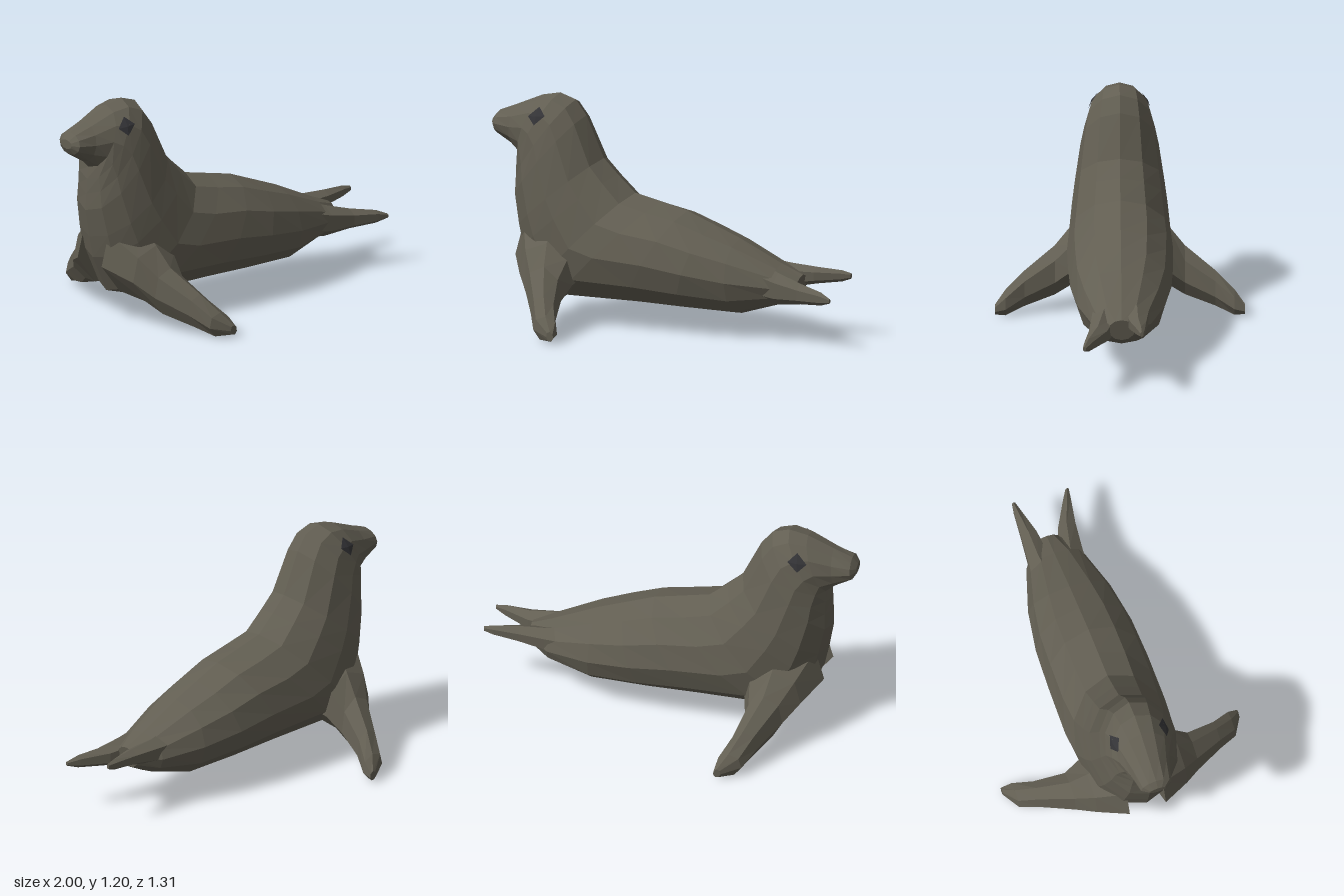
import * as THREE from 'three';

const V = (x, y, z) => new THREE.Vector3(x, y, z);
const skin = new THREE.MeshStandardMaterial({ color: 0x625e52, flatShading: true });
const dark = new THREE.MeshStandardMaterial({ color: 0x333336, flatShading: true, side: THREE.DoubleSide });

// Closed faceted skin over elliptical rings; each ring has centre c and half-axes u, v.
function loft(rings, sides) {
  const pos = [], idx = [], last = rings.length - 1;
  const travel = rings[last].c.clone().sub(rings[0].c);
  for (const { c, u, v } of rings) {
    const s = u.clone().cross(v).dot(travel) < 0 ? -1 : 1;
    for (let j = 0; j < sides; j++) {
      const a = (j / sides) * Math.PI * 2;
      pos.push(...c.clone().addScaledVector(u, Math.cos(a)).addScaledVector(v, s * Math.sin(a)).toArray());
    }
  }
  pos.push(...rings[0].c.toArray(), ...rings[last].c.toArray());
  const c0 = rings.length * sides;
  for (let j = 0; j < sides; j++) {
    const k = (j + 1) % sides;
    for (let i = 0; i < last; i++) {
      const a = i * sides + j, b = i * sides + k;
      idx.push(a, b, b + sides, a, b + sides, a + sides);
    }
    idx.push(c0, k, j, c0 + 1, last * sides + j, last * sides + k);
  }
  const g = new THREE.BufferGeometry();
  g.setAttribute('position', new THREE.Float32BufferAttribute(pos, 3));
  g.setIndex(idx);
  const flat = g.toNonIndexed();
  flat.computeVertexNormals();
  return flat;
}

function part(name, geometry, material = skin) {
  const m = new THREE.Mesh(geometry, material);
  m.name = name;
  return m;
}

// Body from nose to tail: back point x, y; belly point x, y; half width
const BODY = [
  [-1.0, 1.045, -1.0, 0.995, 0.045],
  [-0.97, 1.08, -0.98, 0.96, 0.085],
  [-0.87, 1.12, -0.89, 0.905, 0.105],
  [-0.73, 1.18, -0.85, 0.865, 0.14],
  [-0.63, 1.20, -0.86, 0.8, 0.165],
  [-0.54, 1.17, -0.865, 0.72, 0.185],
  [-0.48, 1.09, -0.87, 0.63, 0.205],
  [-0.38, 0.87, -0.845, 0.48, 0.235],
  [-0.30, 0.79, -0.82, 0.36, 0.25],
  [-0.20, 0.70, -0.73, 0.16, 0.268],
  [-0.05, 0.665, -0.6, 0.12, 0.278],
  [0.1, 0.63, -0.2, 0.12, 0.275],
  [0.25, 0.57, 0.1, 0.115, 0.265],
  [0.4, 0.51, 0.41, 0.11, 0.228],
  [0.64, 0.395, 0.64, 0.18, 0.155],
  [0.76, 0.345, 0.74, 0.23, 0.07],
];

// Front flipper: x, y, z of centre, half length in x, half height
const FLIPPER = [
  [-0.62, 0.36, 0.1, 0.22, 0.2],
  [-0.6, 0.285, 0.25, 0.15, 0.15],
  [-0.575, 0.205, 0.34, 0.1, 0.125],
  [-0.505, 0.125, 0.5, 0.07, 0.09],
  [-0.45, 0.065, 0.6, 0.068, 0.064],
  [-0.40, 0.04, 0.655, 0.02, 0.025],
];

// Tail flippers: x, y, z of centre, half height, half width
const TAILS = {
  leftTailFlipper: [
    [0.56, 0.30, 0.07, 0.1, 0.09],
    [0.66, 0.28, 0.095, 0.085, 0.073],
    [0.8, 0.27, 0.125, 0.055, 0.055],
    [0.94, 0.265, 0.175, 0.035, 0.025],
    [1.0, 0.262, 0.197, 0.012, 0.01],
  ].map((r) => r),
  rightTailFlipper: [
    [0.56, 0.31, -0.07, 0.09, 0.09],
    [0.66, 0.32, -0.082, 0.065, 0.066],
    [0.8, 0.33, -0.085, 0.045, 0.05],
    [0.94, 0.335, -0.1, 0.03, 0.022],
    [0.99, 0.338, -0.103, 0.015, 0.01],
  ],
};

// Diamond patch laid onto the head by casting rays from the side
function eyeGeometry(body, side) {
  const ray = new THREE.Raycaster();
  const onHead = (x, y) => {
    ray.set(V(x, y, side), V(0, 0, -side));
    const hit = ray.intersectObject(body)[0];
    return hit ? hit.point.add(V(0, 0.003, side * 0.006)) : V(x, y, side * 0.1);
  };
  const [cx, cy] = [-0.705, 1.09];
  const mid = onHead(cx, cy);
  const rim = [[0.05, 0.005], [0.005, 0.045], [-0.05, -0.005], [-0.005, -0.045]].map(([x, y]) => onHead(cx + x, cy + y));
  const pts = [];
  rim.forEach((p, i) => {
    const q = rim[(i + 1) % 4];
    pts.push(mid, ...(side > 0 ? [p, q] : [q, p]));
  });
  const g = new THREE.BufferGeometry().setFromPoints(pts);
  g.computeVertexNormals();
  return g;
}

export function createModel() {
  const model = new THREE.Group();
  model.name = 'seal';

  const body = part('body', loft(BODY.map(([tx, ty, bx, by, w]) => ({
    c: V((tx + bx) / 2, (ty + by) / 2, 0),
    u: V((tx - bx) / 2, (ty - by) / 2, 0),
    v: V(0, 0, w),
  })), 12));
  model.add(body);

  // Paired front flippers and eyes
  for (const [label, side] of [['left', 1], ['right', -1]]) {
    const sign = label === 'left' ? side : -1;
    model.add(part(label + 'FrontFlipper', loft(FLIPPER.map(([x, y, z, rx, ry]) => ({
      c: V(x, y, z * sign), u: V(rx, -ry * 0.35, 0), v: V(rx * 0.25, ry, 0),
    })), 7)));
    model.add(part(label + 'Eye', eyeGeometry(body, side), dark));
  }

  // Tail flippers
  for (const [name, rings] of Object.entries(TAILS)) {
    model.add(part(name, loft(rings.map(([x, y, z, ry, rz]) => ({
      c: V(x, y, z), u: V(0, ry, 0), v: V(0, 0, rz),
    })), 6)));
  }
  return model;
}
